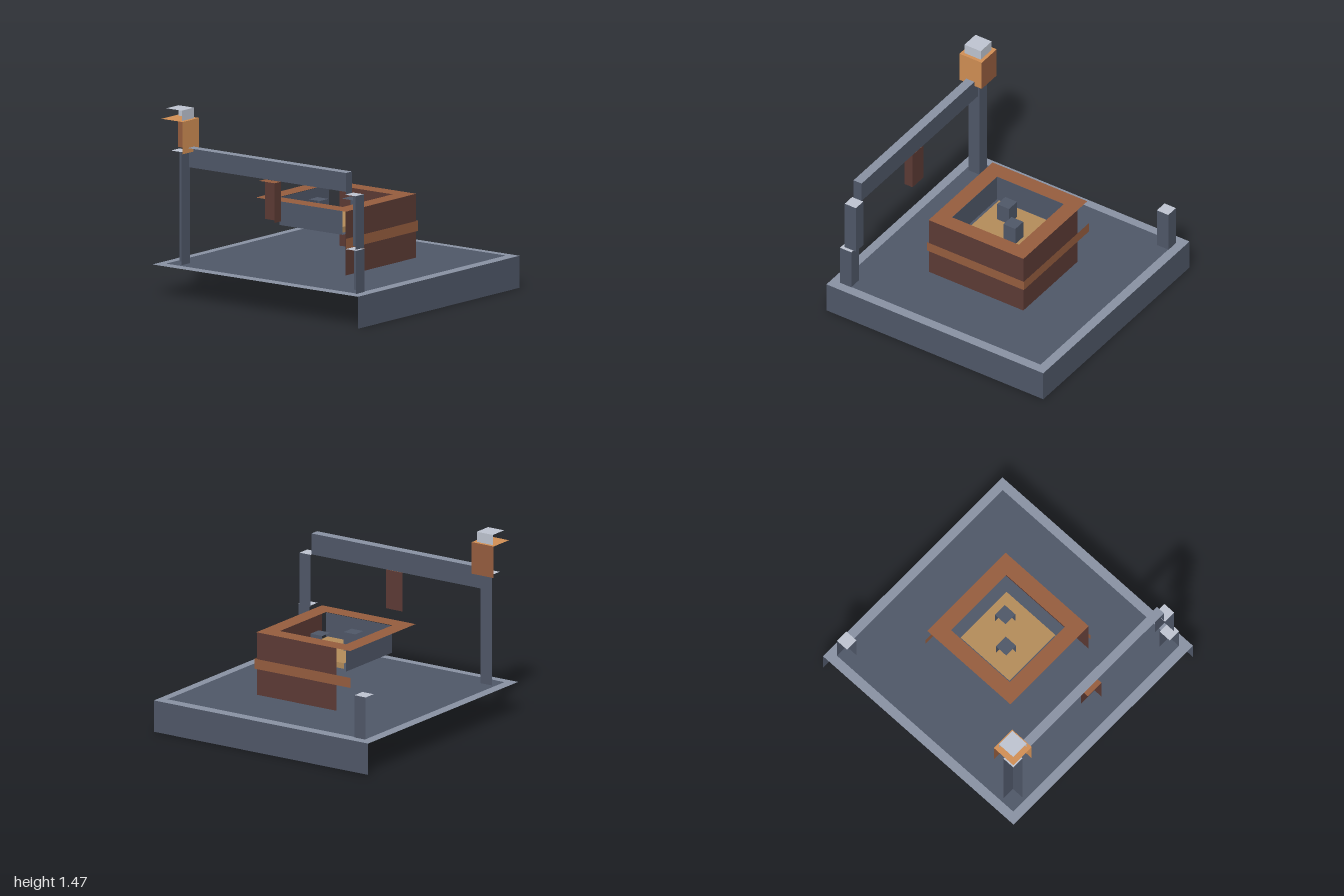
import * as THREE from 'three';

const mat = (name, color) => {
  const m = new THREE.MeshStandardMaterial({ color, side: THREE.DoubleSide });
  m.name = name;
  return m;
};

export function createModel() {
  const slate = mat('slate', 0x505869);
  const paleSlate = mat('pale slate', 0x8a93a4);
  const silver = mat('silver', 0xc0c6d2);
  const darkWood = mat('dark wood', 0x5d3b35);
  const wood = mat('wood', 0x975e3f);
  const amber = mat('amber', 0xd29055);
  const sand = mat('sand', 0xb58d5b);

  const model = new THREE.Group();
  model.name = 'courtyard';

  const add = (parent, name, geometry, material) => {
    const mesh = new THREE.Mesh(geometry, material);
    mesh.name = name;
    parent.add(mesh);
  };

  // Single rectangles facing +z, +x and +y
  const front = (p, name, x0, x1, y0, y1, z, m) =>
    add(p, name, new THREE.PlaneGeometry(x1 - x0, y1 - y0)
      .translate((x0 + x1) / 2, (y0 + y1) / 2, z), m);
  const right = (p, name, z0, z1, y0, y1, x, m) =>
    add(p, name, new THREE.PlaneGeometry(z1 - z0, y1 - y0).rotateY(Math.PI / 2)
      .translate(x, (y0 + y1) / 2, (z0 + z1) / 2), m);
  const top = (p, name, x0, x1, z0, z1, y, m) =>
    add(p, name, new THREE.PlaneGeometry(x1 - x0, z1 - z0).rotateX(-Math.PI / 2)
      .translate((x0 + x1) / 2, y, (z0 + z1) / 2), m);

  // Open block made of its front, left-hand (+x) and top faces
  const block = (name, [x0, x1], [y0, y1], [z0, z1], fm, rm = fm, tm = fm) => {
    const g = new THREE.Group();
    g.name = name;
    front(g, name + 'Front', x0, x1, y0, y1, z1, fm);
    right(g, name + 'Side', z0, z1, y0, y1, x1, rm);
    top(g, name + 'Top', x0, x1, z0, z1, y1, tm);
    model.add(g);
  };

  // Flat square frame lying at height y
  const frame = (name, outer, inner, y, m) => {
    const square = (P, r) => new P([[-r, -r], [r, -r], [r, r], [-r, r]]
      .map(([a, b]) => new THREE.Vector2(a, b)));
    const s = square(THREE.Shape, outer);
    s.holes.push(square(THREE.Path, inner));
    add(model, name, new THREE.ShapeGeometry(s).rotateX(-Math.PI / 2).translate(0, y, 0), m);
  };

  // Base slab with a pale top, and a slate floor plate laid on it
  block('base', [-1, 1], [0, 0.25], [-1, 1], slate, slate, paleSlate);
  top(model, 'floorPlate', -0.925, 0.925, -0.925, 0.925, 0.254, slate);

  // Short corner posts
  block('frontCornerPost', [-0.925, -0.82], [0.25, 0.587], [0.82, 0.925], slate, slate, silver);
  block('backCornerPost', [0.82, 0.925], [0.25, 0.587], [-0.925, -0.82], slate, slate, silver);

  // Gantry: upper front post, tall back post, beam and hanging board
  block('upperFrontPost', [-0.9, -0.797], [0.587, 1.005], [0.795, 0.898], slate, slate, silver);
  block('tallPost', [-0.9, -0.797], [0.25, 1.136], [-0.897, -0.793], slate, slate, silver);
  block('beam', [-0.887, -0.812], [1.005, 1.172], [-0.8, 0.797], slate, slate, paleSlate);
  block('hangingBoard', [-0.887, -0.812], [0.695, 1.004], [-0.05, 0.102], darkWood, darkWood, wood);

  // Lantern and its cap
  block('lantern', [-0.95, -0.745], [1.133, 1.385], [-0.95, -0.745], amber, wood, amber);
  block('lanternCap', [-0.923, -0.773], [1.385, 1.466], [-0.923, -0.773], silver);

  // Central box: two outer walls, a band and a flat rim
  front(model, 'boxFront', -0.435, 0.435, 0.25, 0.752, 0.435, darkWood);
  right(model, 'boxSide', -0.307, 0.435, 0.25, 0.752, 0.435, darkWood);
  front(model, 'bandFront', -0.447, 0.447, 0.463, 0.543, 0.447, wood);
  right(model, 'bandSide', -0.447, 0.447, 0.463, 0.543, 0.447, wood);
  frame('boxRim', 0.437, 0.308, 0.753, wood);

  // Basin inside the box, with a raised bed of sand
  front(model, 'basinBack', -0.308, 0.308, 0.535, 0.75, -0.309, slate);
  right(model, 'basinSide', -0.308, 0.308, 0.535, 0.75, -0.309, slate);
  top(model, 'basinFloor', -0.308, 0.308, -0.308, 0.308, 0.535, slate);
  block('sandBed', [-0.256, 0.256], [0.535, 0.58], [-0.256, 0.256], sand);

  // Two small stones on the sand
  for (const [x, z] of [[-0.08, -0.107], [0.1, 0.075]]) {
    block('stone', [x - 0.055, x + 0.055], [0.58, 0.725], [z - 0.055, z + 0.055], slate);
  }
  return model;
}
